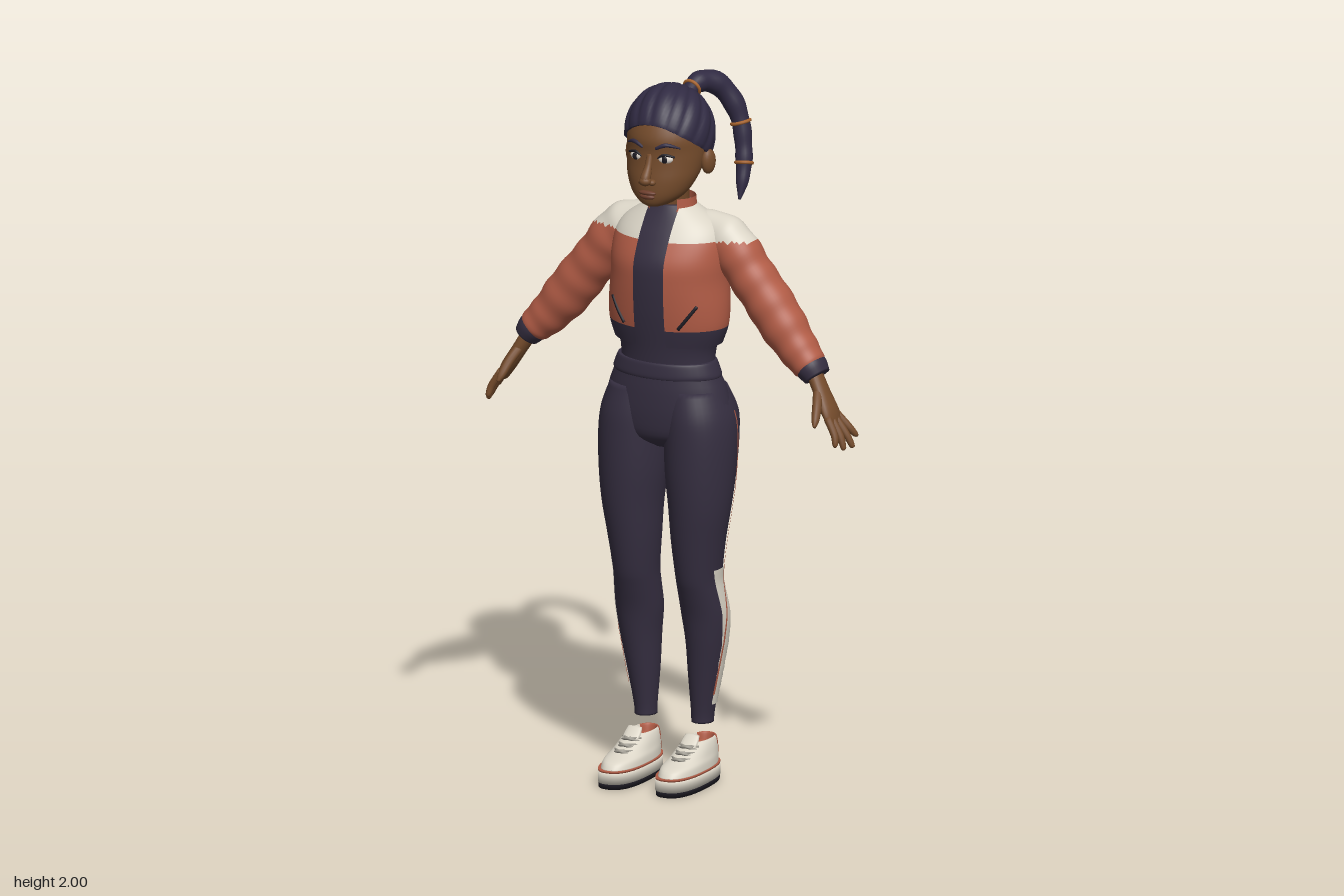
import * as THREE from 'three';

const mat = (name, color, side = THREE.FrontSide) => {
  const m = new THREE.MeshStandardMaterial({ color, side });
  m.name = name;
  return m;
};
const V = (x, y, z) => new THREE.Vector3(x, y, z);

// Smooth interpolation through rows of numbers, with k steps per span
function smoothRows(rows, k) {
  const out = [], n = rows.length;
  const cr = (a, b, c, d, t) => 0.5 * (2 * b + (c - a) * t + (2 * a - 5 * b + 4 * c - d) * t * t + (3 * b - a - 3 * c + d) * t ** 3);
  for (let i = 0; i < n - 1; i++) {
    const [a, b, c, d] = [rows[Math.max(i - 1, 0)], rows[i], rows[i + 1], rows[Math.min(i + 2, n - 1)]];
    for (let j = 0; j < k; j++) out.push(b.map((_, q) => cr(a[q], b[q], c[q], d[q], j / k)));
  }
  out.push(rows[n - 1].slice());
  return out;
}

// Surface through rings of points; pick(centre) chooses the material of each quad
function skin(rings, { closed = true, caps = true, pick = null } = {}) {
  const pos = [], buckets = [[], [], []], n = rings[0].length;
  rings.forEach(r => r.forEach(p => pos.push(p.x, p.y, p.z)));
  for (let i = 0; i < rings.length - 1; i++) {
    for (let j = 0; j < (closed ? n : n - 1); j++) {
      const j2 = (j + 1) % n, a = i * n + j, b = i * n + j2, c = b + n, d = a + n;
      const mid = rings[i][j].clone().add(rings[i + 1][j2]).multiplyScalar(0.5);
      buckets[pick ? pick(mid) : 0].push(a, b, c, a, c, d);
    }
  }
  if (closed && caps) [0, rings.length - 1].forEach((i, end) => {
    const c = rings[i].reduce((s, p) => s.add(p), V(0, 0, 0)).divideScalar(n), ci = pos.length / 3;
    pos.push(c.x, c.y, c.z);
    for (let j = 0; j < n; j++) {
      const a = i * n + j, b = i * n + (j + 1) % n;
      buckets[pick ? pick(rings[i][j]) : 0].push(...(end ? [a, b, ci] : [b, a, ci]));
    }
  });
  const g = new THREE.BufferGeometry();
  g.setAttribute('position', new THREE.Float32BufferAttribute(pos, 3));
  g.setIndex(buckets.flat());
  if (pick) {
    let start = 0;
    buckets.forEach((b, i) => { if (b.length) g.addGroup(start, b.length, i); start += b.length; });
  }
  g.computeVertexNormals();
  return g;
}

// Level cross-sections, rows [y, centreX, halfWidth, zFront, zBack], bottom to top
function loft(rows, { seg = 40, k = 4, gap = 0, power = 2, ...rest } = {}) {
  const pw = v => Math.sign(v) * Math.abs(v) ** (2 / power);
  const rings = smoothRows(rows, k).map(([y, cx, hx, zf, zb]) => {
    const a0 = gap ? Math.asin(Math.min(gap / hx, 0.95)) : 0;
    return Array.from({ length: gap ? seg + 1 : seg }, (_, j) => {
      const a = a0 + j / seg * (2 * Math.PI - 2 * a0);
      return V(cx + hx * pw(Math.sin(a)), y, (zf + zb) / 2 + (zf - zb) / 2 * pw(Math.cos(a)));
    });
  });
  return skin(rings, { closed: !gap, ...rest });
}

// Tube along a path, rows [x, y, z, radius] or [x, y, z, radius, second radius along ref]; ripple adds soft folds
function sweep(rows, { seg = 12, k = 4, ref = V(0, 0, 1), ripple = 0, waves = 0, ...rest } = {}) {
  const pts = smoothRows(rows, k), last = pts.length - 1;
  const rings = pts.map(([x, y, z, ra, rb = ra], i) => {
    const p = pts[Math.max(i - 1, 0)], q = pts[Math.min(i + 1, last)];
    const t = V(q[0] - p[0], q[1] - p[1], q[2] - p[2]).normalize();
    const n = ref.clone().addScaledVector(t, -ref.dot(t)).normalize(), b = t.clone().cross(n);
    const f = 1 + ripple * Math.sin(i / last * waves * 2 * Math.PI);
    return Array.from({ length: seg }, (_, j) => {
      const a = j / seg * 2 * Math.PI;
      return V(x, y, z).addScaledVector(n, Math.cos(a) * rb * f).addScaledVector(b, Math.sin(a) * ra * f);
    });
  });
  return skin(rings, rest);
}

const rowAt = (rows, y) => smoothRows(rows, 12).reduce((a, b) => Math.abs(b[0] - y) < Math.abs(a[0] - y) ? b : a);
const table = (pts, v) => {
  let i = 0;
  while (i < pts.length - 2 && v > pts[i + 1][0]) i++;
  const [a, b] = [pts[i], pts[i + 1]];
  return a[1] + (b[1] - a[1]) * THREE.MathUtils.clamp((v - a[0]) / (b[0] - a[0]), 0, 1);
};

export function createModel() {
  const D = THREE.DoubleSide, root = new THREE.Group();
  const rust = mat('rust jacket', 0xb05b45, D), cream = mat('cream', 0xdbd5c7, D), navy = mat('dark fabric', 0x352e40, D);
  const hair = mat('hair', 0x302a42, D), skinM = mat('skin', 0x744b2b), dark = mat('near black', 0x1c1a22);
  const tie = mat('hair tie', 0xa8642e), lace = mat('lace grey', 0x9d998f), white = mat('eye white', 0xe2dad0), lip = mat('lip', 0x6c3d2c);
  const add = (name, geo, m, parent = root) => {
    const mesh = new THREE.Mesh(geo, m);
    mesh.name = name;
    parent.add(mesh);
    return mesh;
  };
  const ball = (name, m, [x, y, z], [sx, sy, sz]) => {
    const b = add(name, new THREE.SphereGeometry(1, 16, 12), m);
    b.position.set(x, y, z);
    b.scale.set(sx, sy, sz);
    return b;
  };

  // Jacket body, open at the front, with hem and shoulder yoke
  const torso = [[1.27, 0, 0.16, 0.152, -0.07], [1.32, 0, 0.176, 0.161, -0.082], [1.38, 0, 0.178, 0.168, -0.095],
    [1.45, 0, 0.172, 0.172, -0.104], [1.51, 0, 0.172, 0.168, -0.104], [1.57, 0, 0.165, 0.14, -0.092],
    [1.61, 0, 0.14, 0.114, -0.074], [1.645, 0, 0.09, 0.09, -0.045], [1.66, 0, 0.066, 0.08, -0.034]];
  add('jacketBody', loft(torso, { seg: 64, gap: 0.047, pick: p => p.y < 1.32 ? 2 : p.y > 1.57 ? 1 : 0 }), [rust, cream, navy]);
  add('jacketCollar', loft([[1.625, 0, 0.078, 0.088, -0.04], [1.65, 0, 0.073, 0.086, -0.037], [1.68, 0, 0.07, 0.084, -0.035]], { gap: 0.042 }), rust);
  const inner = torso.slice(1).map(([y, x, h, f, b]) => [y, x, h - 0.01, f - 0.007, b + 0.01]);
  add('shirt', loft([[1.18, 0, 0.14, 0.138, -0.04], [1.25, 0, 0.141, 0.144, -0.058], ...inner]), navy);

  // Neck and head
  add('neck', loft([[1.6, 0, 0.05, 0.068, -0.025], [1.66, 0, 0.047, 0.07, -0.026], [1.74, 0, 0.05, 0.09, -0.03]]), skinM);
  add('head', loft([[1.674, 0, 0.022, 0.152, 0.1], [1.684, 0, 0.048, 0.164, 0.06], [1.71, 0, 0.079, 0.17, 0.02],
    [1.75, 0, 0.1, 0.169, -0.015], [1.79, 0, 0.11, 0.163, -0.045], [1.83, 0, 0.114, 0.16, -0.065],
    [1.87, 0, 0.112, 0.161, -0.07], [1.92, 0, 0.096, 0.138, -0.06], [1.96, 0, 0.06, 0.1, -0.03]]), skinM);
  add('noseBridge', sweep([[0, 1.825, 0.152, 0.01], [0, 1.79, 0.165, 0.011], [0, 1.762, 0.182, 0.015], [0, 1.748, 0.183, 0.012]], { ref: V(1, 0, 0) }), skinM);
  ball('noseTip', skinM, [0, 1.755, 0.183], [0.018, 0.014, 0.017]);
  ball('upperLip', lip, [0, 1.718, 0.17], [0.027, 0.007, 0.01]);
  ball('lowerLip', lip, [0, 1.707, 0.17], [0.023, 0.008, 0.01]);

  // Hair cap: strands run from the hairline to the ponytail base
  const hairline = [[-0.1, 1.735], [-0.02, 1.725], [0.02, 1.77], [0.05, 1.825], [0.09, 1.85], [0.13, 1.88], [0.16, 1.915]];
  const axis = V(0, 0.65, -0.76).normalize(), ax = V(1, 0, 0), ay = axis.clone().cross(ax);
  const scalp = (a, t, f = 1) => axis.clone().multiplyScalar(Math.cos(t))
    .addScaledVector(ax, Math.cos(a) * Math.sin(t)).addScaledVector(ay, Math.sin(a) * Math.sin(t))
    .multiply(V(0.128, 0.14, 0.128)).multiplyScalar(f).add(V(0, 1.86, 0.036));
  const N = 128, edge = Array.from({ length: N }, (_, j) => {
    const a = j / N * 2 * Math.PI;
    let t = 0.1;
    for (let p = scalp(a, t); t < 2.9 && p.y > table(hairline, p.z); p = scalp(a, t)) t += 0.01;
    return t;
  });
  const hairRings = Array.from({ length: 24 }, (_, i) => edge.map((t, j) => {
    const a = j / N * 2 * Math.PI, u = Math.max(0, i - 2) / 21.3;
    const groove = 1 - 0.045 * Math.abs(Math.cos(8 * a + 2 * u)) ** 6 * Math.sin(Math.PI * Math.min(1, u + 0.12));
    return scalp(a, t * (1 - u), i === 0 ? 0.87 : i === 1 ? 0.97 : groove);
  }));
  add('hairCap', skin(hairRings, { caps: false }), hair);

  // Ponytail with ties
  const tail = [[0, 1.93, -0.06, 0.022], [0, 1.955, -0.095, 0.024], [0.008, 1.965, -0.135, 0.031], [0.035, 1.95, -0.18, 0.032],
    [0.07, 1.9, -0.203, 0.03], [0.094, 1.84, -0.207, 0.026], [0.106, 1.78, -0.2, 0.025], [0.114, 1.73, -0.188, 0.023],
    [0.119, 1.68, -0.168, 0.017], [0.121, 1.635, -0.148, 0.004]];
  add('ponytail', sweep(tail, { seg: 20, k: 6, ref: V(1, 0, 0), ripple: 0.04, waves: 7 }), hair);
  [1, 5, 7].forEach(i => {
    const ring = add('hairTie', new THREE.TorusGeometry(tail[i][3], 0.005, 8, 24), tie);
    ring.position.set(...tail[i].slice(0, 3));
    const dir = V(...tail[i + 1].slice(0, 3)).sub(V(...tail[i - 1].slice(0, 3))).normalize();
    ring.quaternion.setFromUnitVectors(V(0, 0, 1), dir);
  });

  // Hips and waistband
  add('hips', loft([[0.965, 0, 0.05, 0.09, 0], [1.0, 0, 0.15, 0.14, -0.04], [1.06, 0, 0.19, 0.152, -0.064], [1.13, 0, 0.178, 0.152, -0.066],
    [1.18, 0, 0.158, 0.147, -0.05], [1.22, 0, 0.145, 0.143, -0.043]]), navy);
  add('waistband', loft([[1.175, 0, 0.161, 0.149, -0.053], [1.185, 0, 0.161, 0.151, -0.053], [1.212, 0, 0.151, 0.148, -0.048], [1.22, 0, 0.147, 0.145, -0.045]]), navy);

  const leg = [[0.165, 0.089, 0.031, 0.044, -0.025], [0.2, 0.09, 0.033, 0.046, -0.026], [0.3, 0.096, 0.046, 0.06, -0.04],
    [0.4, 0.103, 0.058, 0.075, -0.05], [0.48, 0.103, 0.067, 0.088, -0.048], [0.55, 0.1, 0.065, 0.108, -0.033],
    [0.6, 0.098, 0.064, 0.122, -0.024], [0.7, 0.1, 0.075, 0.138, -0.026], [0.8, 0.105, 0.087, 0.15, -0.036],
    [0.9, 0.104, 0.098, 0.157, -0.056], [1.0, 0.103, 0.102, 0.158, -0.074], [1.07, 0.099, 0.098, 0.154, -0.083], [1.14, 0.085, 0.085, 0.138, -0.058]];
  // Thin patch lying on the outside of a leg
  const patch = (s, y0, y1, lo, hi, lift) => skin(Array.from({ length: 33 }, (_, i) => {
    const y = y0 + (y1 - y0) * i / 32, [, cx, hx, zf, zb] = rowAt(leg, y);
    return Array.from({ length: 7 }, (_, j) => {
      const z = THREE.MathUtils.lerp(hi(y), lo(y), j / 6), u = (z - (zf + zb) / 2) / ((zf - zb) / 2);
      return V(s * (cx + hx * Math.sqrt(Math.max(0, 1 - u * u)) + lift), y, z);
    });
  }).map(r => s > 0 ? r : r.reverse()), { closed: false });

  for (const s of [1, -1]) {
    const mir = rows => rows.map(([x, ...r]) => [s * x, ...r]);
    const side = rows => rows.map(([y, x, ...r]) => [y, s * x, ...r]);

    // Face details and ear
    ball('ear', skinM, [s * 0.121, 1.792, 0.036], [0.016, 0.036, 0.024]).rotation.y = -s * 0.35;
    ball('nostril', skinM, [s * 0.016, 1.75, 0.172], [0.011, 0.009, 0.012]);
    ball('eyeWhite', white, [s * 0.046, 1.815, 0.148], [0.021, 0.012, 0.009]).rotation.y = s * 0.3;
    ball('iris', dark, [s * 0.045, 1.815, 0.155], [0.0095, 0.0105, 0.004]);
    add('eyelash', sweep(mir([[0.025, 1.817, 0.156, 0.002], [0.045, 1.829, 0.155, 0.004], [0.071, 1.822, 0.141, 0.003]])), dark);
    add('eyebrow', sweep(mir([[0.02, 1.845, 0.159, 0.004], [0.05, 1.857, 0.152, 0.006], [0.082, 1.846, 0.129, 0.002]])), hair);

    // Sleeve and cuff
    add('sleeve', sweep(mir([[0.07, 1.588, -0.006, 0.052, 0.045], [0.14, 1.565, -0.003, 0.072, 0.06], [0.19, 1.532, 0, 0.068, 0.066],
      [0.235, 1.472, 0, 0.066, 0.067], [0.285, 1.41, 0, 0.067, 0.068], [0.335, 1.345, 0.004, 0.067, 0.066],
      [0.385, 1.285, 0.01, 0.058, 0.058], [0.425, 1.245, 0.018, 0.05, 0.051], [0.442, 1.227, 0.02, 0.038, 0.042]]),
    { seg: 48, k: 8, ripple: 0.025, waves: 8, pick: p => p.y > 1.57 ? 1 : 0 }), [rust, cream]);
    add('cuff', sweep(mir([[0.428, 1.245, 0.018, 0.044, 0.048], [0.44, 1.231, 0.02, 0.044, 0.049], [0.456, 1.211, 0.022, 0.037, 0.042]]), { seg: 32 }), navy);

    // Hand
    add('palm', sweep(mir([[0.44, 1.23, 0.02, 0.022, 0.026], [0.475, 1.17, 0.03, 0.02, 0.031], [0.505, 1.12, 0.038, 0.018, 0.039], [0.522, 1.085, 0.041, 0.011, 0.035]]), { seg: 24 }), skinM);
    [[0.564, 1.045, -0.006], [0.57, 1.022, 0.026], [0.56, 1.022, 0.058], [0.548, 1.035, 0.084]].forEach(([x, y, z], i) => {
      const bz = 0.012 + i * 0.019;
      add('finger', sweep(mir([[0.512, 1.11, bz, 0.011], [(0.518 + x) / 2 + 0.005, (1.1 + y) / 2, (bz + z) / 2, 0.0105], [x - 0.003, y + 0.006, z, 0.008], [x, y, z, 0.003]])), skinM);
    });
    add('thumb', sweep(mir([[0.468, 1.18, 0.04, 0.014], [0.483, 1.145, 0.075, 0.0135], [0.493, 1.11, 0.104, 0.011], [0.497, 1.093, 0.118, 0.004]])), skinM);

    // Jacket pocket slit
    add('pocketSlit', sweep([[0.132, 1.395], [0.108, 1.36], [0.084, 1.328]].map(([x, y]) => {
      const [, , hx, zf, zb] = rowAt(torso, y);
      return [s * x, y, (zf + zb) / 2 + (zf - zb) / 2 * Math.sqrt(1 - (x / hx) ** 2), 0.005];
    })), dark);

    // Leg with side panel and piping
    add('leg', loft(side(leg)), navy);
    add('shinPanel', patch(s, 0.22, 0.625, y => table([[0.22, -0.008], [0.4, -0.026], [0.5, -0.02], [0.62, 0.018]], y),
      y => table([[0.22, 0.026], [0.4, 0.032], [0.5, 0.046], [0.62, 0.08]], y), 0.003), cream);
    add('sidePiping', patch(s, 0.25, 1.08, () => 0.024, () => 0.03, 0.005), rust);

    // Shoe
    const shoe = new THREE.Group();
    shoe.name = 'shoe';
    root.add(shoe);
    const layer = (name, y0, y1, h, m) => add(name, loft([[y0, s * 0.09, h, 0.182 + h, 0.018 - h], [y1, s * 0.09, h, 0.182 + h, 0.018 - h]], { power: 2.5, k: 1 }), m, shoe);
    layer('outsole', 0, 0.015, 0.058, dark);
    layer('midsole', 0.015, 0.047, 0.06, cream);
    layer('welt', 0.047, 0.052, 0.0595, rust);
    add('shoeUpper', loft(side([[0.05, 0.09, 0.056, 0.234, -0.038], [0.07, 0.09, 0.054, 0.217, -0.04], [0.085, 0.09, 0.049, 0.17, -0.041],
      [0.105, 0.09, 0.043, 0.127, -0.04], [0.12, 0.09, 0.036, 0.095, -0.037], [0.122, 0.09, 0.03, 0.08, -0.03], [0.1, 0.09, 0.026, 0.07, -0.024]]),
    { power: 2.3, seg: 48, pick: p => p.z < -0.005 ? 1 : 0 }), [cream, rust], shoe);
    add('tongue', sweep(mir([[0.09, 0.095, 0.125, 0.006, 0.02], [0.09, 0.12, 0.092, 0.008, 0.026], [0.09, 0.14, 0.072, 0.005, 0.022]]), { ref: V(1, 0, 0) }), cream, shoe);
    for (const [y, z] of [[0.088, 0.166], [0.1, 0.141], [0.113, 0.117]]) {
      for (const d of [-1, 1]) add('lace', sweep(mir([[0.09 - 0.028 * d, y - 0.006, z - 0.018, 0.003], [0.09, y + 0.004, z, 0.0045], [0.09 + 0.028 * d, y + 0.001, z - 0.028, 0.003]])), lace, shoe);
    }
  }
  return root;
}
